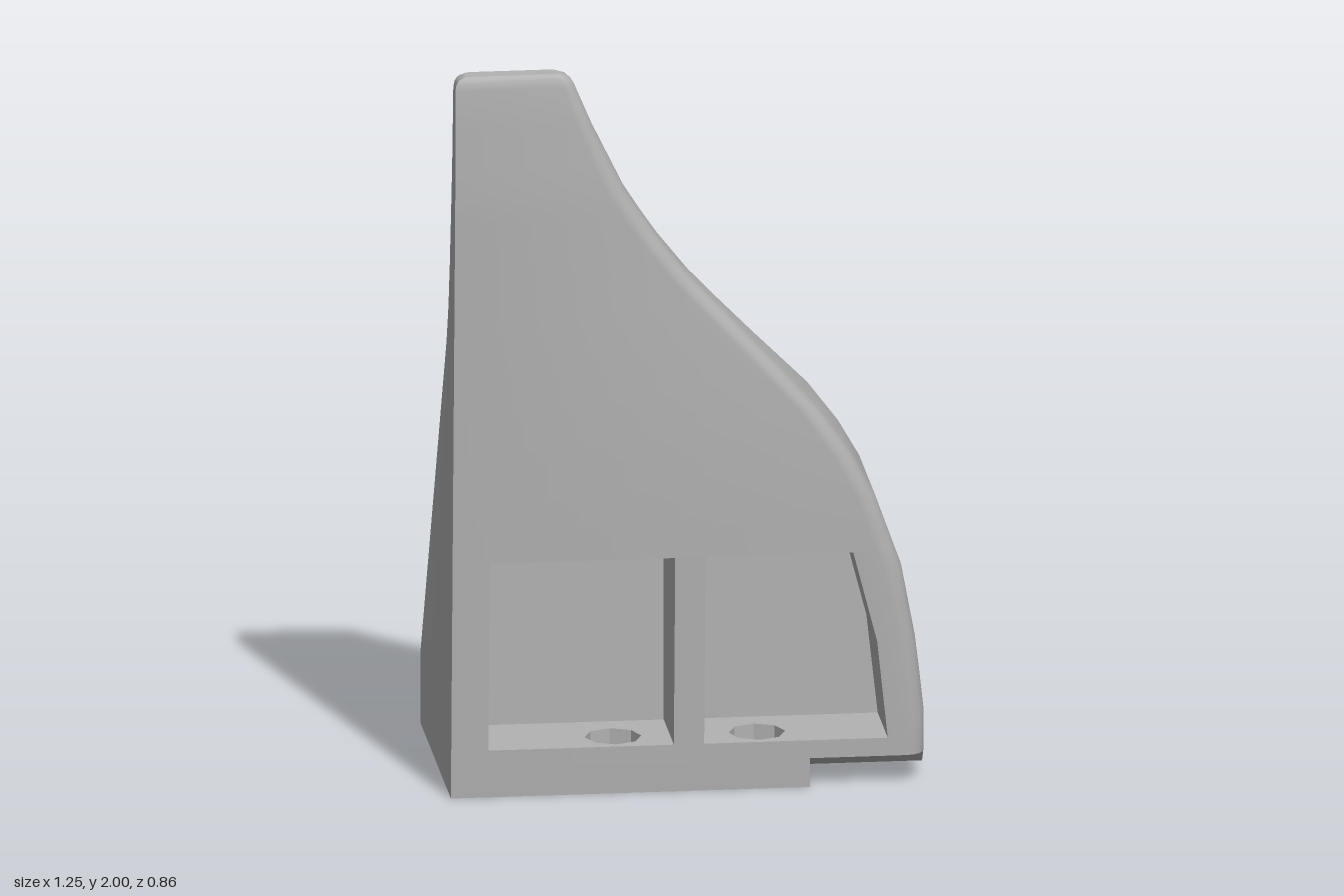
import * as THREE from 'three';
import { mergeGeometries, toCreasedNormals } from 'three/addons/utils/BufferGeometryUtils.js';

// Piecewise-linear curve over height, from [height, value] pairs
const curve = (...pts) => (y) => {
  if (y <= pts[0][0]) return pts[0][1];
  for (let i = 1; i < pts.length; i++) {
    const [y0, v0] = pts[i - 1], [y1, v1] = pts[i];
    if (y <= y1) return v0 + ((v1 - v0) * (y - y0)) / (y1 - y0);
  }
  return pts[pts.length - 1][1];
};

const LEFT = -0.628, POCKET = -0.53, RIB = 0.04, WEB_FRONT = 0.1, WEB_BACK = 0;
const FLOOR = 0.13, CEILING = 0.65, SHELF = 0.73, FADE = 1.53, NOTCH_X = 0.32;
const rightEdge = curve([0, 0.625], [0.2, 0.625], [0.4, 0.6], [0.6, 0.562], [0.8, 0.49], [0.92, 0.425],
  [1.05, 0.335], [1.2, 0.2], [1.42, 0], [1.55, -0.1], [1.67, -0.175], [1.85, -0.262], [2, -0.325]);
const back = curve([0, -0.43], [0.19, -0.43], [1.22, 0.175], [1.33, 0.22], [1.45, 0.25], [2, 0.358]);
const front = curve([0, 0.327], [1.67, 0.428], [2, 0.43]);
const pocketRight = curve([FLOOR, 0.525], [0.4, 0.495], [CEILING, 0.43]);
const recessRight = curve([SHELF, 0.39], [0.95, 0.26], [1.17, 0.06], [1.36, -0.13], [FADE, -0.22]);
const recessFront = curve([SHELF, 0.22], [FADE, back(FADE)]);
const LEVELS = [0, 0.04, 0.08, 0.13, 0.19, 0.3, 0.4, 0.5, 0.6, 0.65, 0.73, 0.8, 0.92, 0.95, 1.05, 1.17, 1.22,
  1.28, 1.33, 1.36, 1.42, 1.45, 1.53, 1.6, 1.67, 1.75, 1.85, 1.965, 1.98, 1.992, 2];

// Horizontal outline at height y, with optional cuts on the front and back runs
function outline(y, frontCuts = [], backCuts = []) {
  const t = Math.max(0, (y - 1.965) / 0.035);
  const inset = 1 - Math.sqrt(1 - t * t);
  const l = LEFT + inset * 0.028, r = rightEdge(y) - inset * 0.028;
  const zf = front(y) - inset * 0.014, zb = back(y) + inset * 0.014;
  const rad = Math.min(0.05, (zf - zb) * 0.4);
  const arc = (cx, cz, a0) => [0, 1, 2, 3, 4].map((i) => {
    const a = a0 - (i * Math.PI) / 8;
    return [cx + rad * Math.cos(a), cz + rad * Math.sin(a)];
  });
  return [[l, zf], ...frontCuts,
    ...arc(r - rad, zf - rad, Math.PI / 2),
    ...arc(r - rad, zb + rad, 0),
    ...backCuts,
    ...arc(l + rad, zb + rad, -Math.PI / 2)];
}

// Foot outline: the front right corner is cut back to z = limit
const notched = (y, limit) => {
  const z = front(y);
  return outline(y, [[NOTCH_X, z], [NOTCH_X, limit]])
    .map(([x, pz]) => [x, x > NOTCH_X ? Math.min(pz, limit) : pz]);
};

// Two pockets in the front and two in the back, either side of a rib and a web
const pocketed = (y) => {
  const zf = front(y), zb = back(y), p = pocketRight(y);
  return outline(y,
    [[POCKET, zf], [POCKET, WEB_FRONT], [-RIB, WEB_FRONT], [-RIB, zf],
      [RIB, zf], [RIB, WEB_FRONT], [p, WEB_FRONT], [p, zf]],
    [[p, zb], [p, WEB_BACK], [RIB, WEB_BACK], [RIB, zb],
      [-RIB, zb], [-RIB, WEB_BACK], [POCKET, WEB_BACK], [POCKET, zb]]);
};

// Large recess open to the back
const recessed = (y) => {
  const x = recessRight(y), z = recessFront(y), zb = back(y);
  return outline(y, [], [[x, zb], [x, z], [POCKET, z], [POCKET, zb]]);
};

// Side skin lofted between two heights
function loft(y0, y1, section) {
  const rows = LEVELS.filter((y) => y >= y0 && y <= y1)
    .map((y) => section(y).map(([x, z]) => [x, y, z]));
  const pos = [];
  for (let i = 0; i + 1 < rows.length; i++) {
    const n = rows[i].length;
    for (let j = 0; j < n; j++) {
      const k = (j + 1) % n;
      const a = rows[i][j], b = rows[i][k], c = rows[i + 1][k], d = rows[i + 1][j];
      pos.push(...a, ...b, ...c, ...a, ...c, ...d);
    }
  }
  const g = new THREE.BufferGeometry();
  g.setAttribute('position', new THREE.Float32BufferAttribute(pos, 3));
  return g;
}

// Flat horizontal face, looking up or down, with octagonal holes
const octagon = (cx, cz, r) => Array.from({ length: 8 }, (_, i) =>
  [cx + r * Math.sin((i * Math.PI) / 4), cz + r * Math.cos((i * Math.PI) / 4)]);
function plate(points, y, up, holes = []) {
  const s = up ? -1 : 1;
  const vec = (list) => list.map(([x, z]) => new THREE.Vector2(x, z * s));
  const shape = new THREE.Shape(vec(points));
  holes.forEach((h) => shape.holes.push(new THREE.Path(vec(h))));
  const g = new THREE.ShapeGeometry(shape);
  g.rotateX((s * Math.PI) / 2);
  g.translate(0, y, 0);
  return g;
}
const rect = (x0, x1, z0, z1) => [[x0, z0], [x1, z0], [x1, z1], [x0, z1]];

export function createModel() {
  const group = new THREE.Group();
  const grey = new THREE.MeshStandardMaterial({ color: 0xb2b2b2, side: THREE.DoubleSide });
  grey.name = 'grey';
  const add = (name, geometry) => {
    const m = new THREE.Mesh(geometry, grey);
    m.name = name;
    group.add(m);
    return m;
  };

  // Outer skin with pocket walls
  const notchSlope = curve([0.04, 0.25], [0.08, front(0.08)]);
  add('bracketBody', toCreasedNormals(mergeGeometries([
    loft(0, 0.04, (y) => notched(y, -0.13)),
    loft(0.04, 0.08, (y) => notched(y, notchSlope(y))),
    loft(0.08, FLOOR, (y) => outline(y)),
    loft(FLOOR, CEILING, pocketed),
    loft(CEILING, SHELF, (y) => outline(y)),
    loft(SHELF, FADE, recessed),
    loft(FADE, 2, (y) => outline(y)),
  ]), 0.6));
  add('topCap', plate(outline(2), 2, true));

  // Underside with four bolt holes and the corner notch
  const holes = [];
  for (const x of [-0.19, 0.19]) for (const z of [-0.33, 0.24]) holes.push([x, z]);
  add('underside', plate(notched(0, -0.13), 0, false, holes.map(([x, z]) => octagon(x, z, 0.045))));
  add('notchCeiling', plate(rect(NOTCH_X, 0.625, -0.13, 0.25), 0.04, false));

  // Floors and ceilings of the four pockets
  for (const side of [-1, 1]) {
    const span = (y) => (side < 0 ? [POCKET, -RIB] : [RIB, pocketRight(y)]);
    for (const isFront of [false, true]) {
      const depth = (y) => (isFront ? [WEB_FRONT, front(y)] : [back(y), WEB_BACK]);
      const z = isFront ? 0.24 : -0.33;
      add('pocketFloor', plate(rect(...span(FLOOR), ...depth(FLOOR)), FLOOR, true, [octagon(0.19 * side, z, 0.075)]));
      add('pocketCeiling', plate(rect(...span(CEILING), ...depth(CEILING)), CEILING, false));
    }
  }
  add('recessFloor', plate(rect(POCKET, recessRight(SHELF), back(SHELF), recessFront(SHELF)), SHELF, true));

  // Stepped bolt holes
  const profile = [[0.075, FLOOR], [0.075, 0.07], [0.045, 0.07], [0.045, 0]].map(([r, y]) => new THREE.Vector2(r, y));
  const bore = toCreasedNormals(new THREE.LatheGeometry(profile, 8), 0.5);
  holes.forEach(([x, z]) => add('boltHole', bore).position.set(x, 0, z));

  return group;
}
